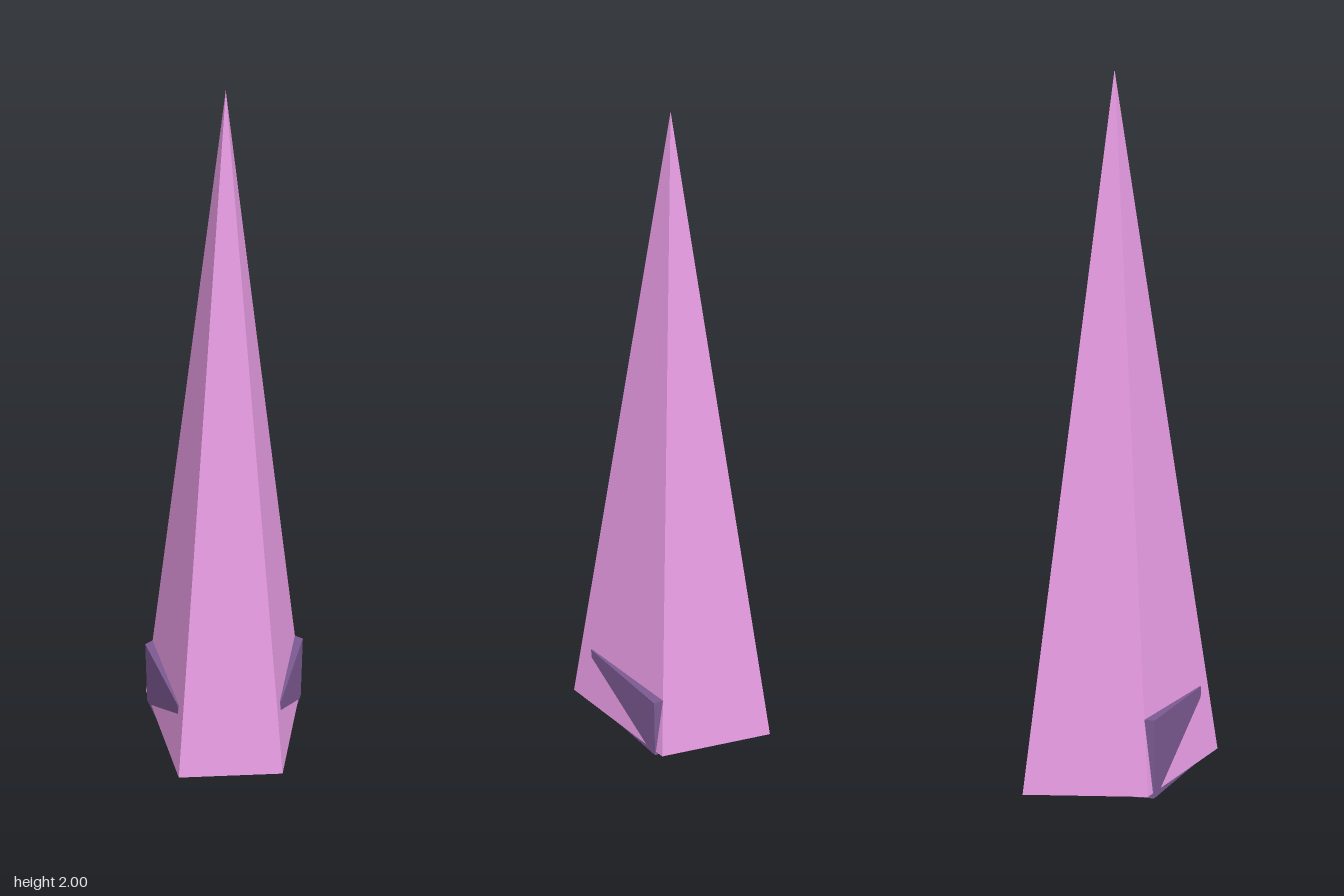
import * as THREE from 'three';

// Five-sided solid with one corner pointing to the back
function pentagonSolid(name, topRadius, bottomRadius, height, baseY, color) {
  const geometry = new THREE.CylinderGeometry(topRadius, bottomRadius, height, 5, 1, false, Math.PI);
  const material = new THREE.MeshStandardMaterial({ color, flatShading: true });
  const mesh = new THREE.Mesh(geometry, material);
  mesh.name = name;
  mesh.position.set(0, baseY + height / 2, 0.034);
  return mesh;
}

export function createModel() {
  const model = new THREE.Group();
  model.name = 'spire';

  // Tall pointed spire, stretched front to back
  const spire = pentagonSolid('spireRoof', 0, 0.264, 1.985, 0.015, 0xe89ce4);
  spire.scale.z = 0.353 / 0.264;
  model.add(spire);

  // Short regular prism inside the foot, its side corners poking out
  model.add(pentagonSolid('basePlinth', 0.26, 0.26, 0.23, 0, 0x7c5a92));

  return model;
}
